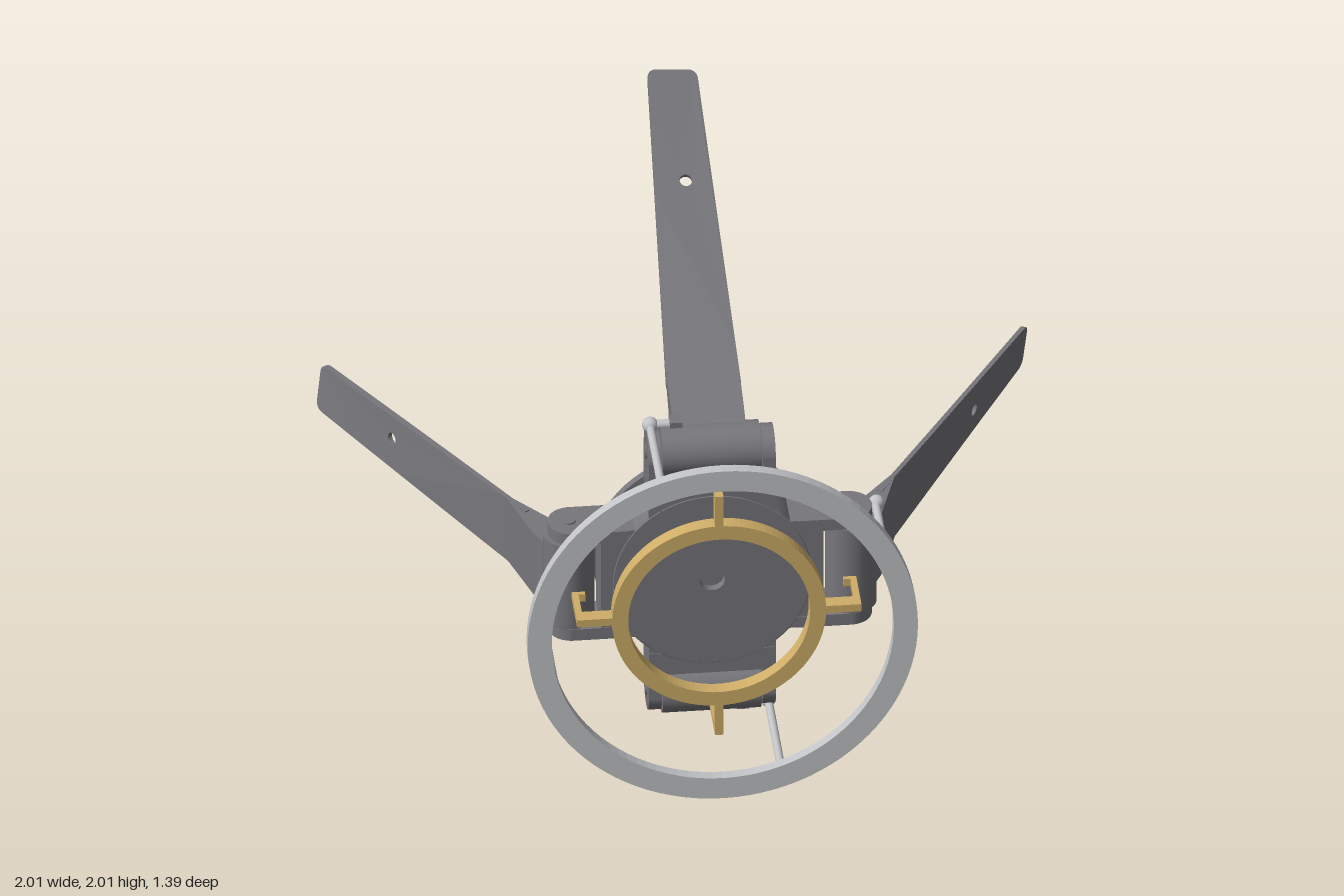
import * as THREE from 'three';

const mat = (name, color, side = THREE.FrontSide) => {
  const m = new THREE.MeshStandardMaterial({ color, side });
  m.name = name;
  return m;
};

export function createModel() {
  const grey = mat('dark grey', 0x77777c);
  const silver = mat('light grey', 0xc2c4c7);
  const gold = mat('gold', 0xd0ae68);

  const root = new THREE.Group();
  root.name = 'foldingBladeRotor';
  const rotor = new THREE.Group();
  rotor.name = 'rotor';
  rotor.position.y = 1;
  root.add(rotor);

  const add = (parent, name, geo, material, x = 0, y = 0, z = 0) => {
    const m = new THREE.Mesh(geo, material);
    m.name = name;
    m.position.set(x, y, z);
    parent.add(m);
    return m;
  };
  const box = (w, h, d) => new THREE.BoxGeometry(w, h, d);
  const cylX = (r, len) => new THREE.CylinderGeometry(r, r, len, 32).rotateZ(Math.PI / 2);
  const cylZ = (r, len) => new THREE.CylinderGeometry(r, r, len, 20).rotateX(Math.PI / 2);

  // Flat ring around the z axis between two depths
  const ring = (ro, ri, z0, z1) => {
    const s = new THREE.Shape().absarc(0, 0, ro, 0, Math.PI * 2);
    s.holes.push(new THREE.Path().absarc(0, 0, ri, 0, Math.PI * 2, true));
    return new THREE.ExtrudeGeometry(s, { depth: z1 - z0, bevelEnabled: false, curveSegments: 48 })
      .translate(0, 0, z0);
  };
  // Side profile drawn as (-z, y), extruded along x
  const extrudeX = (shape, x0, x1) =>
    new THREE.ExtrudeGeometry(shape, { depth: x1 - x0, bevelEnabled: false, curveSegments: 16 })
      .rotateY(Math.PI / 2).translate(x0, 0, 0);

  // Hub: each straight run is its own lathe band so the edges stay sharp
  const hub = new THREE.Group();
  hub.name = 'hub';
  rotor.add(hub);
  const profile = [[0, 0.235], [0.25, 0.235], [0.25, 0.247], [0.325, 0.247], [0.325, 0.272],
    [0.285, 0.272], [0.285, 0.405], [0.28, 0.41], [0.036, 0.41], [0.036, 0.385], [0, 0.385]];
  for (let i = 0; i < profile.length - 1; i++) {
    const band = [profile[i], profile[i + 1]].map(([r, z]) => new THREE.Vector2(r, z));
    add(hub, 'hubBand', new THREE.LatheGeometry(band, 64).rotateX(Math.PI / 2), grey);
  }
  // Ring of cones on the back
  for (let i = 0; i < 8; i++) {
    const a = (i + 0.5) * Math.PI / 4;
    add(hub, 'backCone', new THREE.ConeGeometry(0.055, 0.046, 28, 1, true).rotateX(-Math.PI / 2),
      grey, 0.162 * Math.cos(a), 0.162 * Math.sin(a), 0.212);
  }

  // Control ring and inner catch ring
  add(rotor, 'controlRing', ring(0.553, 0.485, 0.66, 0.693), silver);
  add(rotor, 'catchRing', ring(0.303, 0.258, 0.553, 0.596), gold);

  // Clevis ear profile
  const ear = new THREE.Shape();
  ear.moveTo(-0.41, 0.24);
  ear.lineTo(-0.27, 0.24);
  ear.lineTo(-0.27, 0.4);
  ear.quadraticCurveTo(-0.28, 0.455, -0.34, 0.46);
  ear.quadraticCurveTo(-0.40, 0.455, -0.41, 0.4);
  ear.closePath();

  // Wedge from the thick blade root down to the thin blade, as (-n, s)
  const neck = new THREE.Shape([[0.055, 0], [0.057, 0.085], [0.035, 0.125], [0.006, 0.29],
    [-0.006, 0.29], [-0.036, 0.16], [-0.05, 0.1], [-0.055, 0]]
    .map(([a, b]) => new THREE.Vector2(a, b)));

  // Tapered blade outline with a small hole
  const blade = new THREE.Shape();
  blade.moveTo(-0.106, 0.2);
  blade.lineTo(0.106, 0.2);
  for (let i = 1; i <= 8; i++) blade.lineTo(0.106 - 0.034 * i / 8, 0.2 + 0.96 * i / 8);
  blade.quadraticCurveTo(0.072, 1.185, 0.05, 1.19);
  blade.lineTo(-0.05, 1.19);
  blade.quadraticCurveTo(-0.072, 1.185, -0.072, 1.16);
  for (let i = 7; i >= 1; i--) blade.lineTo(-0.106 + 0.034 * i / 8, 0.2 + 0.96 * i / 8);
  blade.closePath();
  blade.holes.push(new THREE.Path().absarc(0.008, 0.84, 0.018, 0, Math.PI * 2, true));
  const bladeGeo = new THREE.ExtrudeGeometry(blade, { depth: 0.014, bevelEnabled: false, curveSegments: 10 })
    .translate(0, 0, -0.007);
  // Slight twist towards the tip
  const p = bladeGeo.attributes.position;
  for (let i = 0; i < p.count; i++) {
    p.setZ(i, p.getZ(i) - p.getX(i) * 0.13 * Math.max(0, (p.getY(i) - 0.2) / 0.99));
  }
  bladeGeo.computeVertexNormals();

  for (let k = 0; k < 4; k++) {
    const arm = new THREE.Group();
    arm.name = 'arm' + (k + 1);
    arm.rotation.z = -k * Math.PI / 2;
    rotor.add(arm);

    // Clevis bracket with hinge pin
    add(arm, 'bracketBlock', box(0.36, 0.12, 0.136), grey, 0, 0.255, 0.34);
    add(arm, 'clevisEar', extrudeX(ear, -0.18, -0.143), grey);
    add(arm, 'clevisEar', extrudeX(ear, 0.143, 0.18), grey);
    add(arm, 'hingePin', cylX(0.02, 0.368), grey, 0, 0.4, 0.34);
    add(arm, 'hingeBarrel', cylX(0.073, 0.28), grey, 0, 0.4, 0.34);

    // Swept-back blade
    const swing = new THREE.Group();
    swing.name = 'blade';
    swing.position.set(0, 0.4, 0.34);
    swing.rotation.x = -Math.PI / 3;
    arm.add(swing);
    add(swing, 'bladeNeck', extrudeX(neck, -0.103, 0.103), grey);
    add(swing, 'bladePanel', bladeGeo, grey);

    // Push rod from the control ring to the blade root
    add(arm, 'pushRod', cylZ(0.012, 0.35), silver, -0.167, 0.472, 0.49);
    add(arm, 'rodBall', new THREE.SphereGeometry(0.023, 20, 14), silver, -0.167, 0.475, 0.318);
    add(arm, 'rodPin', cylX(0.013, 0.07), silver, -0.133, 0.475, 0.318);
    add(arm, 'rodLug', box(0.035, 0.045, 0.045), grey, -0.095, 0.468, 0.318);

    // Hooked catch finger
    add(arm, 'catchSpoke', box(0.024, 0.11, 0.043), gold, 0, 0.348, 0.5745);
    add(arm, 'catchFinger', box(0.024, 0.018, 0.145), gold, 0, 0.394, 0.5235);
    add(arm, 'catchHook', box(0.024, 0.036, 0.014), gold, 0, 0.384, 0.458);
  }
  return root;
}
